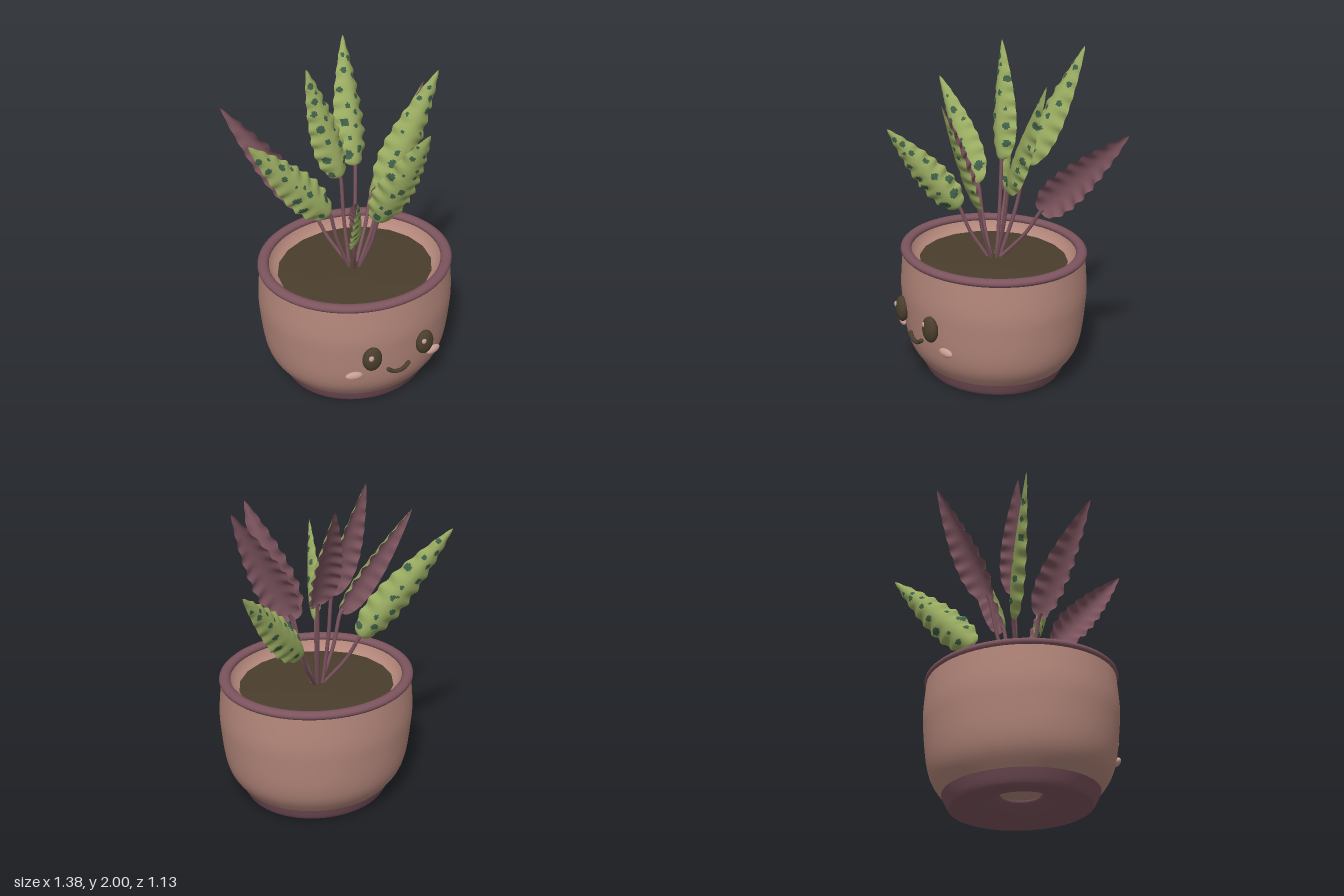
import * as THREE from 'three';

const paint = (name, color) => {
  const m = new THREE.MeshStandardMaterial({ color });
  m.name = name;
  return m;
};
const V = (x, y, z) => new THREE.Vector3(x, y, z);

export function createModel() {
  const clay = paint('clay pink', 0xb3867a);
  const plum = paint('plum', 0x7c545e);
  const soilBrown = paint('dark brown', 0x4a3e2d);
  const green = paint('leaf green', 0x98aa60);
  const spotGreen = paint('spot green', 0x3f6049);
  const blush = paint('blush', 0xc89e93);

  const model = new THREE.Group();
  const add = (parent, name, geometry, material) => {
    const mesh = new THREE.Mesh(geometry, material);
    mesh.name = name;
    parent.add(mesh);
    return mesh;
  };
  const lathe = (points, segments = 64) =>
    new THREE.LatheGeometry(points.map(([r, y]) => new THREE.Vector2(r, y)), segments);
  const smooth = (points, n) =>
    new THREE.SplineCurve(points.map(([r, y]) => new THREE.Vector2(r, y)))
      .getPoints(n).map((p) => [p.x, p.y]);

  // Pot: slightly oval, wider than deep
  const pot = new THREE.Group();
  pot.name = 'pot';
  pot.position.set(-0.032, 0, -0.015);
  pot.scale.z = 0.917;
  model.add(pot);

  add(pot, 'potWall', lathe(smooth([
    [0.477, 0.09], [0.538, 0.175], [0.572, 0.28], [0.593, 0.45], [0.6, 0.58], [0.585, 0.77],
  ], 24)), clay);
  add(pot, 'potInnerWall', lathe([[0.54, 0.785], [0.53, 0.75], [0.5, 0.72], [0.465, 0.7]]), clay);
  add(pot, 'potFloor', lathe([[0, 0.095], [0.25, 0.095]], 32), clay);

  // Base ring with a recessed drainage hole
  add(pot, 'potBase', lathe(smooth([
    [0.125, 0.1], [0.13, 0.08], [0.17, 0.055], [0.27, 0.02], [0.36, 0.002],
    [0.415, 0.003], [0.442, 0.022], [0.477, 0.09],
  ], 28)), plum);

  const rim = add(pot, 'rim', new THREE.TorusGeometry(0.563, 0.035, 14, 72).rotateX(Math.PI / 2), plum);
  rim.scale.y = 0.7;
  rim.position.y = 0.781;

  add(pot, 'soil', lathe([[0.478, 0.715], [0.3, 0.728], [0, 0.732]], 20), soilBrown);

  // Face
  const face = new THREE.Group();
  face.name = 'face';
  face.position.x = -0.03;
  model.add(face);
  const ball = new THREE.SphereGeometry(1, 28, 20);
  for (const s of [-1, 1]) {
    const side = s > 0 ? 'left' : 'right';
    const eye = add(face, side + 'Eye', ball, soilBrown);
    eye.position.set(s * 0.177, 0.44, 0.523);
    eye.scale.set(0.06, 0.08, 0.038);
    eye.rotation.y = s * 0.15;
    const glint = add(face, side + 'EyeGlint', ball, blush);
    glint.position.set(s * 0.177 - 0.02, 0.468, 0.551);
    glint.scale.set(0.017, 0.019, 0.012);
    const cheek = add(face, side + 'Cheek', ball, blush);
    cheek.position.set(s * 0.27, 0.315, 0.472);
    cheek.scale.set(0.053, 0.026, 0.02);
    cheek.rotation.y = s * 0.25;
  }
  const smile = new THREE.CatmullRomCurve3([
    V(-0.068, 0.325, 0.524), V(-0.035, 0.303, 0.53), V(0, 0.297, 0.532),
    V(0.035, 0.303, 0.53), V(0.068, 0.325, 0.524),
  ]);
  add(face, 'mouth', new THREE.TubeGeometry(smile, 28, 0.013, 10), soilBrown);
  for (const p of [smile.points[0], smile.points[4]]) {
    const end = add(face, 'mouthEnd', ball, soilBrown);
    end.position.copy(p);
    end.scale.setScalar(0.013);
  }

  // Seeded numbers for the spots
  let seed = 7;
  const rnd = () => (seed = (seed * 16807) % 2147483647) / 2147483647;

  // One face of an arched leaf blade: sign +1 is the spotted top, -1 the underside
  const NU = 90, NV = 22;
  const bladeSide = (base, tip, hint, halfWidth, sign, spots) => {
    const along = tip.clone().sub(base);
    const length = along.length();
    const a = along.clone().normalize();
    const n = hint.clone().addScaledVector(a, -hint.dot(a)).normalize();
    const w = a.clone().cross(n);
    const pos = [], plain = [], dark = [];
    for (let i = 0; i <= NU; i++) {
      const u = i / NU;
      const outline = Math.pow(Math.max(0, Math.sin(Math.PI * Math.pow(u, 0.56))), 0.8);
      const wave = Math.sin(u * Math.PI * 17);
      const half = halfWidth * outline * (1 + 0.08 * wave);
      for (let j = 0; j <= NV; j++) {
        const v = (j / NV) * 2 - 1;
        const lift = outline * (v ** 4 * 0.005 * wave + 0.065 * (0.5 - v * v) + sign * 0.003 * (1 - v * v));
        const p = base.clone().addScaledVector(along, u)
          .addScaledVector(w, v * half).addScaledVector(n, lift);
        pos.push(p.x, p.y, p.z);
        if (i === NU || j === NV) continue;
        const k = i * (NV + 1) + j, up = k + NV + 1;
        const cu = u + 0.5 / NU, cv = v + 1 / NV;
        const spotted = spots.some((s) =>
          Math.hypot((cu - s.u) * length / 1.2, (cv - s.v) * halfWidth * outline) < s.r);
        const tris = sign > 0 ? [k, k + 1, up, k + 1, up + 1, up] : [k, up, k + 1, k + 1, up, up + 1];
        (spotted ? dark : plain).push(...tris);
      }
    }
    const g = new THREE.BufferGeometry();
    g.setAttribute('position', new THREE.Float32BufferAttribute(pos, 3));
    g.setIndex(plain.concat(dark));
    g.addGroup(0, plain.length, 0);
    if (dark.length) g.addGroup(plain.length, dark.length, 1);
    g.computeVertexNormals();
    return g;
  };

  // Leaves: blade start, tip, direction the top faces, half width
  const leaves = [
    [V(-0.08, 1.31, -0.1), V(-0.24, 2.0, -0.2), V(0.12, 0.2, 1), 0.1],
    [V(0.06, 1.31, -0.18), V(0.16, 2.0, -0.52), V(0.15, 0.3, 1), 0.105],
    [V(0.04, 1.09, 0.13), V(0.19, 1.78, 0.45), V(-0.42, 0, 1), 0.11],
    [V(0.14, 1.19, -0.01), V(0.52, 1.9, -0.02), V(-0.32, 0.2, 0.95), 0.105],
    [V(0.18, 1.04, -0.21), V(0.69, 1.6, -0.46), V(-0.47, 0.1, -0.87), 0.105],
    [V(-0.2, 1.14, -0.01), V(-0.69, 1.71, -0.02), V(0.2, 0.2, 0.95), 0.11],
    [V(-0.21, 1.06, -0.21), V(-0.66, 1.74, -0.47), V(0.45, 0.08, -0.87), 0.1],
    [V(-0.13, 1.04, 0.16), V(-0.31, 1.54, 0.54), V(0.82, 0.03, 0.44), 0.095],
  ];
  const heart = V(-0.035, 0.72, -0.02);
  for (const [base, tip, hint, halfWidth] of leaves) {
    const leaf = new THREE.Group();
    leaf.name = 'leaf';
    model.add(leaf);
    const spots = [];
    for (let k = 0; k < 13; k++) {
      const u = 0.06 + 0.84 * (k + 0.9 * rnd()) / 13;
      spots.push({ u, v: (k % 2 ? 1 : -1) * (0.05 + 0.75 * rnd()), r: (0.009 + 0.013 * rnd()) * (1.2 - 0.5 * u) });
    }
    add(leaf, 'leafTop', bladeSide(base, tip, hint, halfWidth, 1, spots), [green, spotGreen]);
    add(leaf, 'leafUnderside', bladeSide(base, tip, hint, halfWidth, -1, []), plum);

    // Stem rising from the soil and running into the blade
    const out = V(base.x - heart.x, 0, base.z - heart.z);
    const root = heart.clone().addScaledVector(out.clone().normalize(), 0.035);
    const bend = root.clone().lerp(base, 0.55).addScaledVector(out, 0.08);
    const end = base.clone().lerp(tip, 0.04);
    const curve = new THREE.CatmullRomCurve3([root, bend, base, end]);
    add(leaf, 'stem', new THREE.TubeGeometry(curve, 20, 0.0115, 8), plum);
  }
  return model;
}
